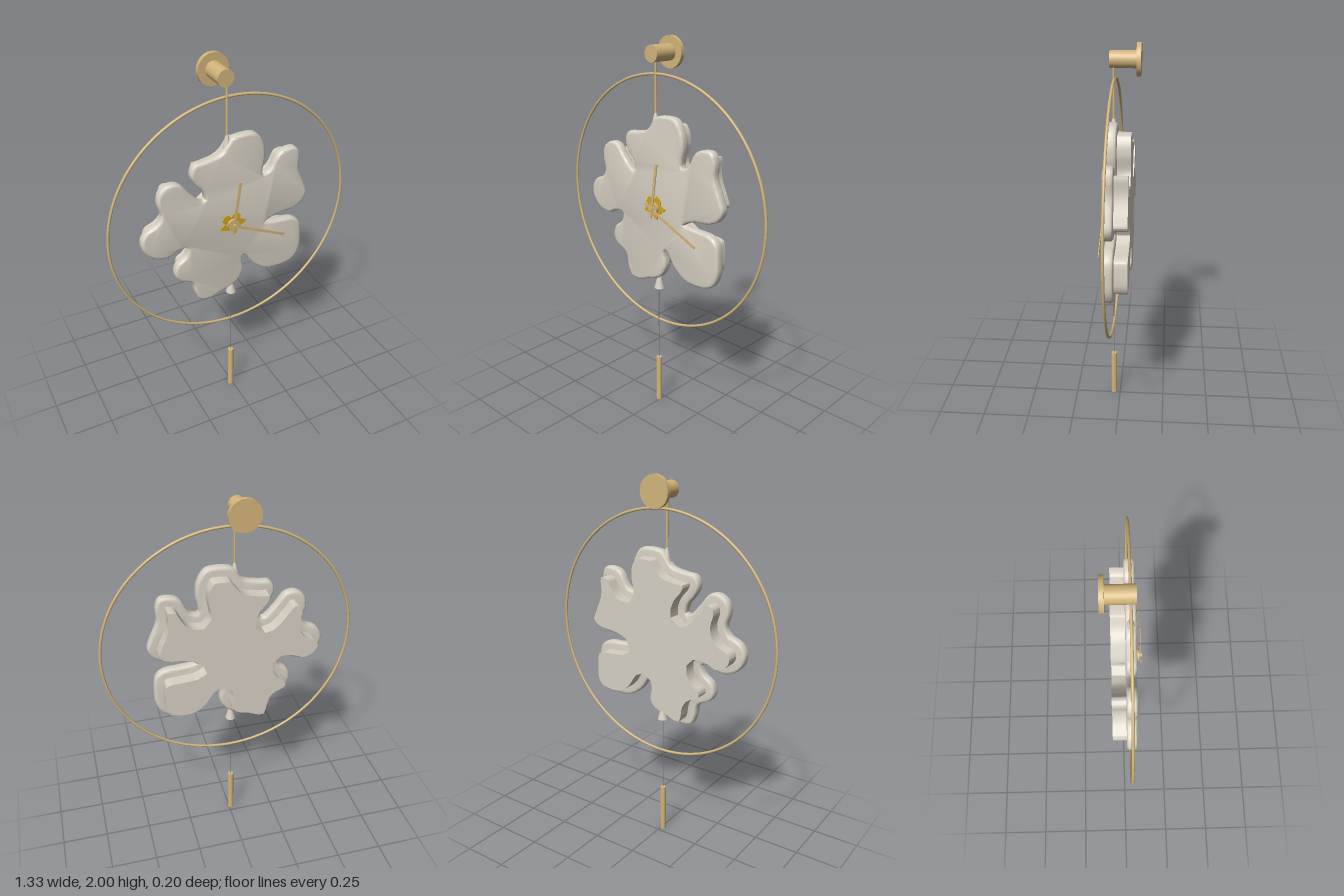
import * as THREE from 'three';
import { toCreasedNormals } from 'three/addons/utils/BufferGeometryUtils.js';

// Petal outline, clockwise from the top, in hundredths of a unit (x, y)
const OUTLINE = [
  -3, 160, -1, 162, 7, 163, 12, 162, 16, 156, 17, 149, 16, 139, 20, 140,
  25, 148, 30, 150, 35, 149.5, 37, 145, 37, 137, 41, 127, 42.5, 122, 40, 117,
  34, 114, 25, 113, 18, 110, 25, 109, 35, 108, 39, 105, 40.5, 97, 40, 87,
  36, 81, 27, 79, 19, 80, 12, 85, 6, 93, 4.5, 92, 5.5, 84, 2.5, 78,
  -2, 75, -6, 74, -14, 71, -20, 72, -22.5, 77, -24, 84, -31, 88, -33.5, 92,
  -32, 98, -27, 102, -26, 107, -31, 107, -37, 104.5, -44, 106, -49, 111, -50, 117,
  -47, 122, -41, 125, -39, 129, -40.5, 136, -39, 142, -34, 145, -29, 144, -24, 138,
  -18, 132, -16, 132, -17, 137, -21, 142, -23, 147, -21, 152, -15, 153, -7, 155,
];
const HUB = [-0.013, 1.15];

export function createModel() {
  const model = new THREE.Group();
  const material = (name, color) => {
    const m = new THREE.MeshStandardMaterial({ color });
    m.name = name;
    return m;
  };
  const stone = material('warm stone', 0xd6cfc2);
  const brass = material('brass', 0xd2b47a);
  const pollen = material('pollen yellow', 0xd0a51c);
  const cord = material('grey cord', 0x77756f);

  const add = (name, geometry, mat, x = 0, y = 0, z = 0) => {
    const mesh = new THREE.Mesh(geometry, mat);
    mesh.name = name;
    mesh.position.set(x, y, z);
    model.add(mesh);
    return mesh;
  };
  // Cylinder lying along z, between two depths
  const disc = (name, mat, x, y, z0, z1, r, sides = 40) => {
    const g = new THREE.CylinderGeometry(r, r, z1 - z0, sides).rotateX(Math.PI / 2);
    return add(name, g, mat, x, y, (z0 + z1) / 2);
  };
  // Upright cylinder between two heights
  const rod = (name, mat, x, z, y0, y1, rTop, rBottom = rTop) =>
    add(name, new THREE.CylinderGeometry(rTop, rBottom, y1 - y0, 20), mat, x, (y0 + y1) / 2, z);

  // Smooth closed flower outline
  const controls = [];
  for (let i = 0; i < OUTLINE.length; i += 2) {
    controls.push(new THREE.Vector3(OUTLINE[i] / 100, OUTLINE[i + 1] / 100, 0));
  }
  const curve = new THREE.CatmullRomCurve3(controls, true, 'centripetal');
  const N = 260;
  const edge = curve.getSpacedPoints(N).slice(0, N).map(p => new THREE.Vector2(p.x, p.y));

  // Front flower plate with a softened front rim
  const bevel = 0.014;
  const front = new THREE.ExtrudeGeometry(new THREE.Shape(edge), {
    depth: 0.052 - 2 * bevel, bevelEnabled: true, bevelSize: bevel,
    bevelThickness: bevel, bevelOffset: -bevel, bevelSegments: 3,
  });
  add('flowerFace', toCreasedNormals(front, 0.7), stone, 0, 0, 0.008 + bevel);

  // Smaller backing plate: the outline pulled inwards, crossings dropped
  const inset = 0.046;
  const inner = edge.map((p, i) => {
    const t = edge[(i + 1) % N].clone().sub(edge[(i + N - 1) % N]).normalize();
    return new THREE.Vector2(p.x + t.y * inset, p.y - t.x * inset);
  }).filter(q => edge.every(p => p.distanceTo(q) > inset * 0.96));
  const back = new THREE.ExtrudeGeometry(new THREE.Shape(inner), { depth: 0.073, bevelEnabled: false });
  add('flowerBacking', toCreasedNormals(back, 0.8), stone, 0, 0, -0.06);

  // Stem tips where the rod and cord meet the flower
  rod('upperStemTip', stone, -0.03, 0.033, 1.56, 1.635, 0.007, 0.025);
  rod('lowerStemTip', stone, -0.008, 0.033, 0.695, 0.78, 0.006, 0.028);

  // Hoop
  add('hoop', new THREE.TorusGeometry(0.66, 0.007, 12, 128), brass, 0, 1.165, 0.031);

  // Wall mount and hanging rod
  disc('wallPlate', brass, -0.043, 1.92, -0.1, -0.078, 0.08, 48);
  disc('mountPeg', brass, -0.043, 1.92, -0.078, 0.053, 0.042);
  rod('hangingRod', brass, -0.03, 0.033, 1.6, 1.89, 0.006);

  // Cord and pendulum weight
  rod('pendulumCord', cord, -0.01, 0.035, 0.265, 0.72, 0.002);
  rod('pendulumWeight', brass, -0.01, 0.035, 0, 0.27, 0.016);

  // Ragged pollen patch around the hub
  const patch = new THREE.Shape();
  for (let i = 0; i < 28; i++) {
    const a = (i / 28) * Math.PI * 2;
    const r = 0.052 + 0.011 * Math.cos(5 * a + 0.6) + 0.006 * Math.cos(9 * a);
    patch[i ? 'lineTo' : 'moveTo'](r * 1.15 * Math.cos(a), r * Math.sin(a));
  }
  add('pollenPatch', new THREE.ExtrudeGeometry(patch, { depth: 0.008, bevelEnabled: false }),
    pollen, HUB[0], HUB[1] + 0.005, 0.057);

  // Hub
  disc('hubBase', brass, ...HUB, 0.055, 0.079, 0.031);
  disc('hubPin', brass, ...HUB, 0.079, 0.096, 0.012, 24);

  // Clock hands, each a thin bar from tail to tip
  const hand = (name, x0, y0, x1, y1, z) => {
    const g = new THREE.BoxGeometry(Math.hypot(x1 - x0, y1 - y0), 0.015, 0.004);
    add(name, g, brass, (x0 + x1) / 2, (y0 + y1) / 2, z).rotation.z = Math.atan2(y1 - y0, x1 - x0);
  };
  hand('hourHand', -0.021, 1.1, 0.02, 1.39, 0.084);
  hand('minuteHand', -0.058, 1.17, 0.283, 1.014, 0.089);

  return model;
}
